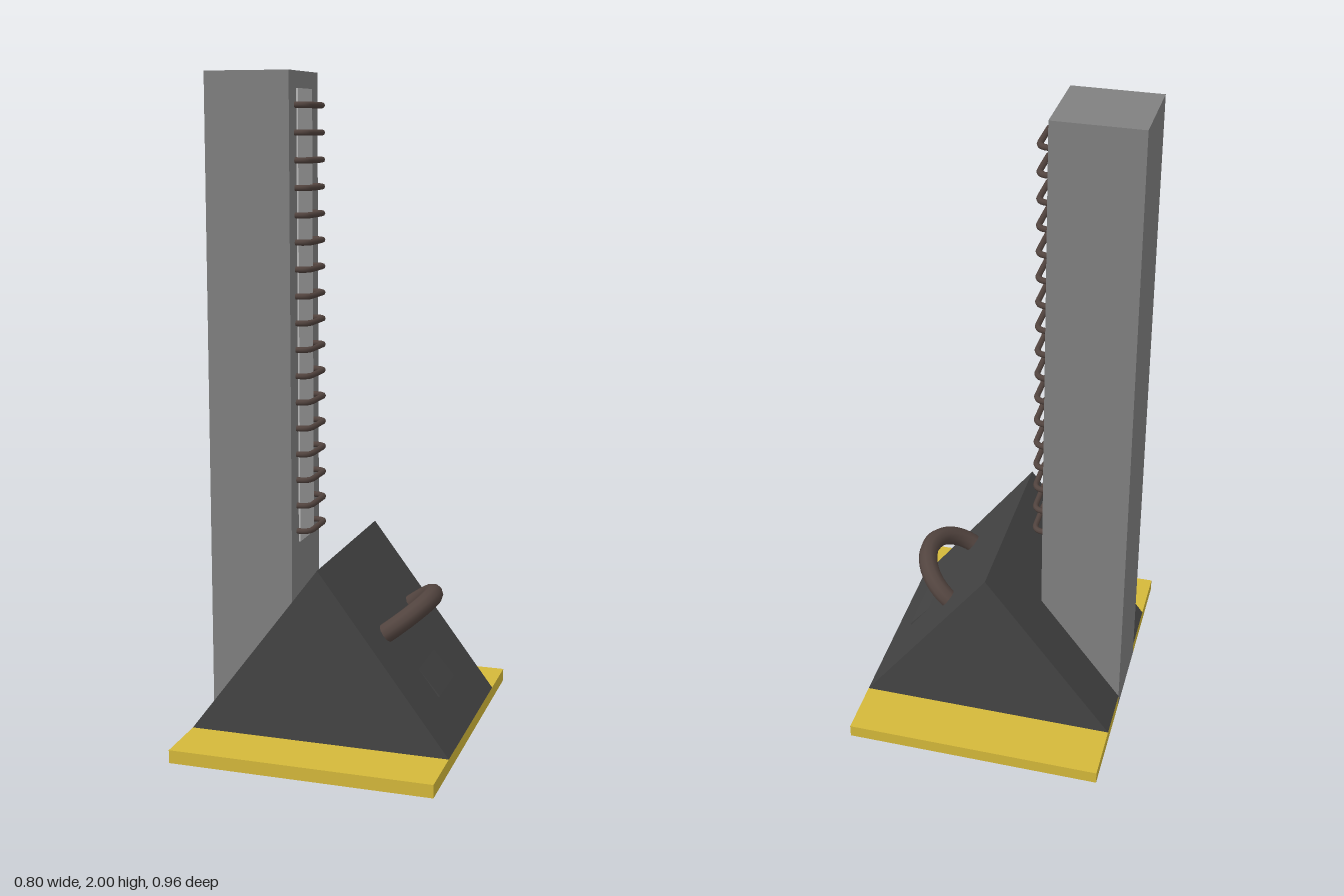
import * as THREE from 'three';

const paint = (color) => new THREE.MeshStandardMaterial({ color });

function add(parent, name, geometry, material, x = 0, y = 0, z = 0) {
  const mesh = new THREE.Mesh(geometry, material);
  mesh.name = name;
  mesh.position.set(x, y, z);
  parent.add(mesh);
  return mesh;
}

const polygon = (points) => new THREE.Shape(points.map(([x, y]) => new THREE.Vector2(x, y)));

export function createModel() {
  const model = new THREE.Group();
  model.name = 'ladderTower';

  const yellow = paint(0xd4b83a);
  const grey = paint(0x808080);
  const lightGrey = paint(0xb8b8b8);
  const dark = paint(0x444444);
  const brown = paint(0x52443f);

  // Base plate, notched where the column stands
  const plate = new THREE.ExtrudeGeometry(
    polygon([[-0.4, -0.48], [0.4, -0.48], [0.4, 0.48], [-0.4, 0.48],
      [-0.4, 0.13], [-0.137, 0.13], [-0.137, -0.13], [-0.4, -0.13]]),
    { depth: 0.04, bevelEnabled: false });
  plate.rotateX(-Math.PI / 2);
  add(model, 'basePlate', plate, yellow);

  // Triangular housing
  const wedge = new THREE.ExtrudeGeometry(
    polygon([[-0.4, 0.04], [0.4, 0.04], [0, 0.57]]),
    { depth: 0.6, bevelEnabled: false });
  add(model, 'wedgeHousing', wedge, dark, 0, 0, -0.3);

  // Column and the pale strip behind the rungs
  add(model, 'column', new THREE.BoxGeometry(0.263, 2, 0.26), grey, -0.2685, 1, 0);
  add(model, 'rungPanel', new THREE.BoxGeometry(0.02, 1.365, 0.13), lightGrey, -0.142, 1.2675, 0);

  // Rungs: bent rods with rounded corners
  const v = (x, z) => new THREE.Vector3(x, 0, z);
  const path = new THREE.CurvePath();
  path.add(new THREE.LineCurve3(v(-0.145, 0.078), v(-0.128, 0.078)));
  path.add(new THREE.QuadraticBezierCurve3(v(-0.128, 0.078), v(-0.097, 0.078), v(-0.097, 0.045)));
  path.add(new THREE.LineCurve3(v(-0.097, 0.045), v(-0.097, -0.045)));
  path.add(new THREE.QuadraticBezierCurve3(v(-0.097, -0.045), v(-0.097, -0.078), v(-0.128, -0.078)));
  path.add(new THREE.LineCurve3(v(-0.128, -0.078), v(-0.145, -0.078)));
  const rung = new THREE.TubeGeometry(path, 32, 0.009, 8);
  for (let i = 0; i < 17; i++) add(model, `rung${i + 1}`, rung, brown, 0, 0.622 + i * 0.08, 0);

  // Fittings on the sloping face: local y points out of the slope, x runs down it
  const slope = new THREE.Group();
  slope.name = 'slopeFittings';
  slope.position.set(0.2, 0.305, 0);
  slope.rotation.z = -Math.atan2(0.53, 0.4);
  model.add(slope);

  const handle = new THREE.TorusGeometry(0.15, 0.03, 10, 24, Math.PI);
  handle.rotateY(Math.PI / 2);
  add(slope, 'handle', handle, brown, -0.055, -0.022, 0);

  // Flap, tipped so its lower edge stands proud
  const flap = add(slope, 'flap', new THREE.BoxGeometry(0.125, 0.006, 0.185), dark, 0.135, -0.001, 0.01);
  flap.rotation.z = 0.05;

  return model;
}
